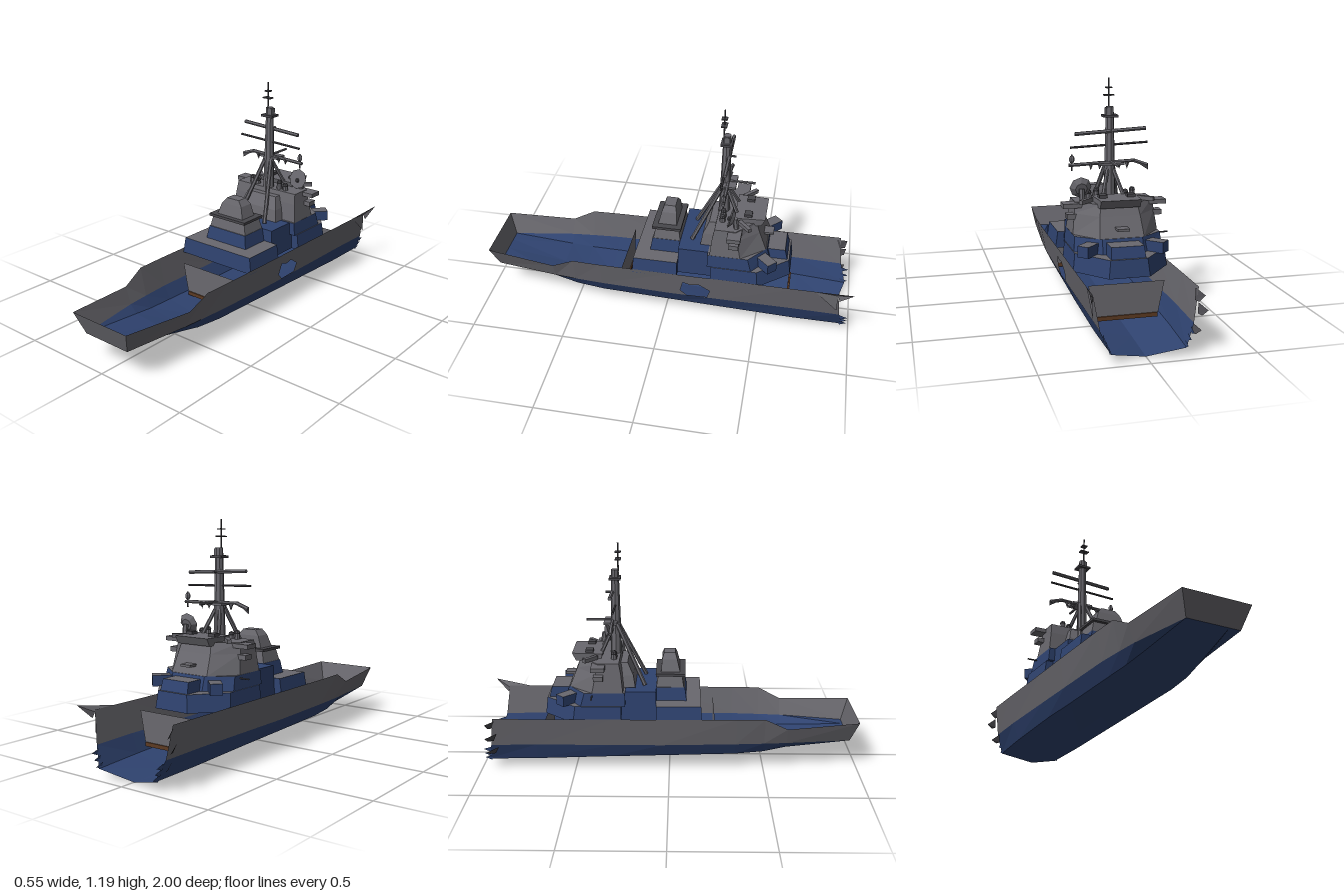
import * as THREE from 'three';

export function createModel() {
  const model = new THREE.Group();
  const paint = (name, color) => {
    const m = new THREE.MeshStandardMaterial({ color, side: THREE.DoubleSide, flatShading: true });
    m.name = name;
    return m;
  };
  const gray = paint('hull gray', 0x69686e);
  const blue = paint('navy blue', 0x2f4370);
  const dark = paint('dark steel', 0x48474c);
  const brown = paint('rust brown', 0x5c3a22);

  const add = (name, geo, mat, parent = model) => {
    const mesh = new THREE.Mesh(geo, mat);
    mesh.name = name;
    parent.add(mesh);
    return mesh;
  };
  const fromTris = (pts) => {
    const g = new THREE.BufferGeometry();
    g.setAttribute('position', new THREE.Float32BufferAttribute(pts.flat(), 3));
    g.computeVertexNormals();
    return g;
  };
  const quad = (a, b, c, d) => [a, b, c, a, c, d];
  const box = (name, x, y, z, w, h, d, mat = gray) => {
    const m = add(name, new THREE.BoxGeometry(w, h, d), mat);
    m.position.set(x, y, z);
    return m;
  };
  const bar = (name, a, b, r, mat = gray, r2 = r, sides = 6) => {
    const p = new THREE.Vector3(...a), q = new THREE.Vector3(...b);
    const m = add(name, new THREE.CylinderGeometry(r2, r, p.distanceTo(q), sides), mat);
    m.position.copy(p).add(q).multiplyScalar(0.5);
    m.quaternion.setFromUnitVectors(new THREE.Vector3(0, 1, 0), q.sub(p).normalize());
  };
  // Mirrored deck outline from its right half, listed front to back
  const outline = (half) => [...half, ...half.map(([x, z]) => [-x, z]).reverse()];
  // Block lofted through levels of [y, right half of outline]
  const block = (name, levels, side, top) => {
    const rings = levels.map(([y, half]) => outline(half).map(([x, z]) => [x, y, z]));
    const walls = [], n = rings[0].length;
    for (let k = 0; k + 1 < rings.length; k++) {
      for (let i = 0; i < n; i++) {
        const j = (i + 1) % n;
        walls.push(...quad(rings[k][i], rings[k][j], rings[k + 1][j], rings[k + 1][i]));
      }
    }
    const lid = rings[rings.length - 1], base = rings[0], caps = [], floor = [];
    for (let i = 1; i + 1 < n; i++) {
      caps.push(lid[0], lid[i], lid[i + 1]);
      floor.push(base[0], base[i + 1], base[i]);
    }
    const g = fromTris([...walls, ...floor, ...caps]);
    const split = walls.length + floor.length;
    g.addGroup(0, split, 0);
    g.addGroup(split, caps.length, 1);
    add(name, g, [side, top]);
  };

  // Open hull: each section runs keel, chine, waterline, gunwale
  const sections = [
    [[0, .155, .96], [.08, .155, .96], [.14, .155, .96], [.18, .27, 1]],
    [[0, .105, .62], [.15, .12, .62], [.19, .16, .62], [.22, .25, .62]],
    [[0, .08, .5], [.165, .1, .5], [.2, .16, .5], [.232, .31, .5]],
    [[0, .06, .35], [.175, .09, .35], [.21, .16, .35], [.237, .31, .35]],
    [[0, .04, -.04], [.18, .08, -.04], [.217, .155, -.04], [.24, .31, -.04]],
    [[0, .03, -.3], [.185, .075, -.3], [.217, .155, -.3], [.24, .31, -.3]],
    [[0, .015, -.7], [.183, .06, -.7], [.217, .155, -.7], [.242, .31, -.7]],
    [[0, .005, -.92], [.172, .05, -.97], [.215, .15, -.94], [.242, .31, -.92]],
  ];
  const holedBay = 4;
  const bottom = [], sides = [];
  for (const s of [1, -1]) {
    const f = ([x, y, z]) => [s * x, y, z];
    for (let i = 0; i + 1 < sections.length; i++) {
      for (let j = 0; j < 3; j++) {
        if (s === 1 && i === holedBay && j === 2) continue;
        const a = sections[i], b = sections[i + 1];
        let q = [a[j], b[j], b[j + 1], a[j + 1]].map(f);
        if (s < 0) q = q.reverse();
        (j < 2 ? bottom : sides).push(...quad(...q));
      }
    }
  }
  add('hullBottom', fromTris(bottom), blue);
  add('hullSides', fromTris(sides), gray);
  const [, , w0, t0] = sections[0];
  add('transom', fromTris(quad([-w0[0], w0[1], w0[2]], w0, t0, [-t0[0], t0[1], t0[2]])), gray);

  // Side plating with a shell hole, drawn in z and y and leaned to the hull side
  const v2 = (list) => list.map(([a, b]) => new THREE.Vector2(a, b));
  const plate = new THREE.Shape(v2([[-.3, .155], [-.04, .155], [-.04, .31], [-.3, .31]]));
  plate.holes.push(new THREE.Path(v2([[-.105, .255], [-.145, .24], [-.19, .25], [-.25, .21], [-.235, .16], [-.125, .157], [-.09, .19]])));
  const plating = new THREE.ShapeGeometry(plate);
  const pos = plating.attributes.position;
  for (let i = 0; i < pos.count; i++) {
    const z = pos.getX(i), y = pos.getY(i);
    pos.setXYZ(i, .217 + .023 * (y - .155) / .155, y, z);
  }
  plating.computeVertexNormals();
  add('holedPlating', plating, gray);

  // Torn plating at the open end
  add('tornGunwale', fromTris([
    [.242, .31, -.8], [.242, .2, -.92], [.242, .31, -.92],
    [.242, .31, -.8], [.242, .3, -.92], [.275, .34, -1],
    [.242, .3, -.92], [.25, .27, -.93], [.275, .34, -1],
  ]), gray);
  [[.235, .3, .05], [.25, .23, .045], [.22, .14, .04]].forEach(([x, y, h]) => {
    add('tornEdge', fromTris([[-x + .01, y - h, -.92], [-x, y, -.9], [-x - .025, y - .02, -.96],
      [-x + .01, y - h, -.92], [-x - .025, y - .02, -.96], [-x, y - h, -.95]]), dark);
  });
  for (const s of [1, -1]) {
    for (let k = 0; k < 3; k++) {
      const y = .06 + k * .03, x = s * (.176 + k * .013);
      add('tornEdge', fromTris([[x, y - .015, -.95], [x, y + .015, -.94], [x, y, -.985]]), blue);
    }
  }

  // Bulkheads inside the hull with rusted feet
  for (const z of [.24, -.66]) {
    add('bulkhead', fromTris(quad([-.14, .11, z], [.17, .11, z], [.2, .265, z], [-.17, .265, z])), gray);
    box('rustedFoot', .015, .1, z, .3, .02, .012, brown);
  }
  box('rustedBeam', -.16, .275, -.1, .01, .01, .12, brown);

  // Deckhouses
  block('forwardHouse', [[.288, [[.235, .17], [.235, -.07]]], [.375, [[.222, .165], [.222, -.07]]]], blue, gray);
  block('gunDeck', [[.375, [[.135, .09], [.135, -.07]]], [.445, [[.122, .08], [.122, -.07]]]], blue, gray);
  block('midHouse', [[.288, [[.19, -.07], [.19, -.25]]], [.442, [[.185, -.07], [.185, -.25]]]], blue, blue);
  block('aftHouse', [[.288, [[.235, -.25], [.235, -.5], [.1, -.66]]],
    [.375, [[.225, -.25], [.225, -.49], [.09, -.65]]]], blue, gray);
  block('bridgeBase', [[.375, [[.222, -.23], [.222, -.46], [.1, -.55]]],
    [.445, [[.215, -.23], [.215, -.44], [.1, -.53]]]], blue, gray);
  block('aftStep', [[.375, [[.085, -.5], [.085, -.64]]], [.43, [[.08, -.5], [.08, -.625]]]], blue, gray);
  for (const s of [1, -1]) {
    const b = box('cornerLocker', s * .165, .4, -.53, .11, .055, .06, [blue, blue, gray, blue, blue, blue]);
    b.rotation.y = s * .78;
  }

  // Turret
  block('turretBase', [[.445, [[.12, .075], [.12, -.07]]], [.505, [[.105, .065], [.105, -.06]]]], gray, gray);
  box('turretRim', 0, .511, .005, .24, .014, .155, dark);
  block('turretTop', [[.518, [[.085, .055], [.085, -.045]]], [.58, [[.065, .04], [.065, -.04]]],
    [.61, [[.04, .03], [.04, -.03]]]], gray, gray);

  // Bridge tower
  block('bridgeTower', [[.445, [[.214, -.24], [.214, -.4], [.11, -.525]]],
    [.545, [[.202, -.25], [.202, -.38], [.1, -.485]]],
    [.6, [[.196, -.26], [.196, -.37], [.09, -.465]]]], gray, gray);
  block('bridgeFront', [[.445, [[.13, -.18], [.13, -.3]]], [.51, [[.118, -.19], [.118, -.3]]],
    [.575, [[.097, -.22], [.097, -.3]]]], gray, gray);
  block('directorHouse', [[.585, [[.11, -.36], [.1, -.49]]], [.625, [[.11, -.35], [.1, -.51]]]], gray, gray);
  box('bridgeWing', 0, .585, -.365, .52, .022, .07);
  box('lowerWing', 0, .53, -.365, .48, .025, .05);
  box('aftShelf', 0, .49, -.5, .06, .012, .11);
  bar('sideRod', [-.27, .43, -.4], [-.2, .43, -.4], .004, dark);
  for (const s of [1, -1]) {
    box('roofRail', s * .15, .61, -.41, .09, .02, .02).rotation.y = s * .75;
    box('hatch', s * .07, .63, -.42, .04, .02, .04, dark);
  }

  // Domes and radar dish
  for (const [x, h] of [[-.115, .03], [.07, .035], [-.08, .02], [.11, .025]]) {
    bar('sensorPost', [x, .575, -.29], [x, .6 + h, -.29], .018, gray, .014, 8);
    add('sensorDome', new THREE.SphereGeometry(.016, 8, 4), dark).position.set(x, .6 + h, -.29);
  }
  const dish = add('radarDish', new THREE.CylinderGeometry(.055, .03, .02, 8), gray);
  dish.position.set(.16, .66, -.345);
  dish.rotation.x = 1.3;
  add('dishHub', new THREE.SphereGeometry(.012, 6, 4), dark).position.set(.16, .655, -.33);
  bar('dishPost', [.16, .59, -.37], [.16, .66, -.36], .014);

  // Mast with struts, yards and top antenna
  bar('mast', [0, .53, -.285], [0, 1.05, -.285], .032, gray, .02, 8);
  for (const s of [1, -1]) {
    bar('frontStrut', [s * .09, .445, -.13], [s * .015, .78, -.285], .011);
    bar('rearStrut', [s * .06, .59, -.37], [s * .015, .74, -.3], .01);
  }
  bar('lowerYard', [-.12, .78, -.3], [.21, .768, -.3], .009);
  bar('lowerYardBent', [-.19, .755, -.3], [-.12, .78, -.3], .01);
  bar('middleYard', [-.195, .868, -.285], [.2, .853, -.285], .006, dark);
  bar('upperYard', [-.18, .94, -.3], [.18, .921, -.3], .01);
  bar('aftArm', [0, .78, -.28], [0, .78, -.44], .007);
  bar('aftSpur', [0, .93, -.28], [0, .93, -.335], .006);
  box('yardPlatform', 0, .772, -.31, .12, .012, .07);
  add('yardPennant', fromTris([[-.195, .76, -.3], [-.195, .73, -.3], [-.135, .77, -.3]]), dark);
  bar('yardSensorStem', [.195, .74, -.3], [.195, .82, -.3], .004, dark);
  add('yardSensor', new THREE.SphereGeometry(.014, 6, 5).scale(1, 1.5, 1), gray).position.set(.195, .797, -.3);
  for (const x of [-.085, .055, .1, -.045]) {
    const cone = add('hangingLamp', new THREE.ConeGeometry(.014, .035, 5), gray);
    cone.position.set(x, .757, -.3);
    cone.rotation.x = Math.PI;
  }
  box('mastPlatform', 0, 1.005, -.285, .072, .012, .06, dark);
  box('mastBox', .012, 1.025, -.285, .02, .04, .03);
  bar('antenna', [0, 1.04, -.268], [0, 1.19, -.268], .004, dark);
  for (const [y, w] of [[1.105, .05], [1.142, .03]]) box('antennaBar', 0, y, -.268, w, .006, .03, dark);
  return model;
}
